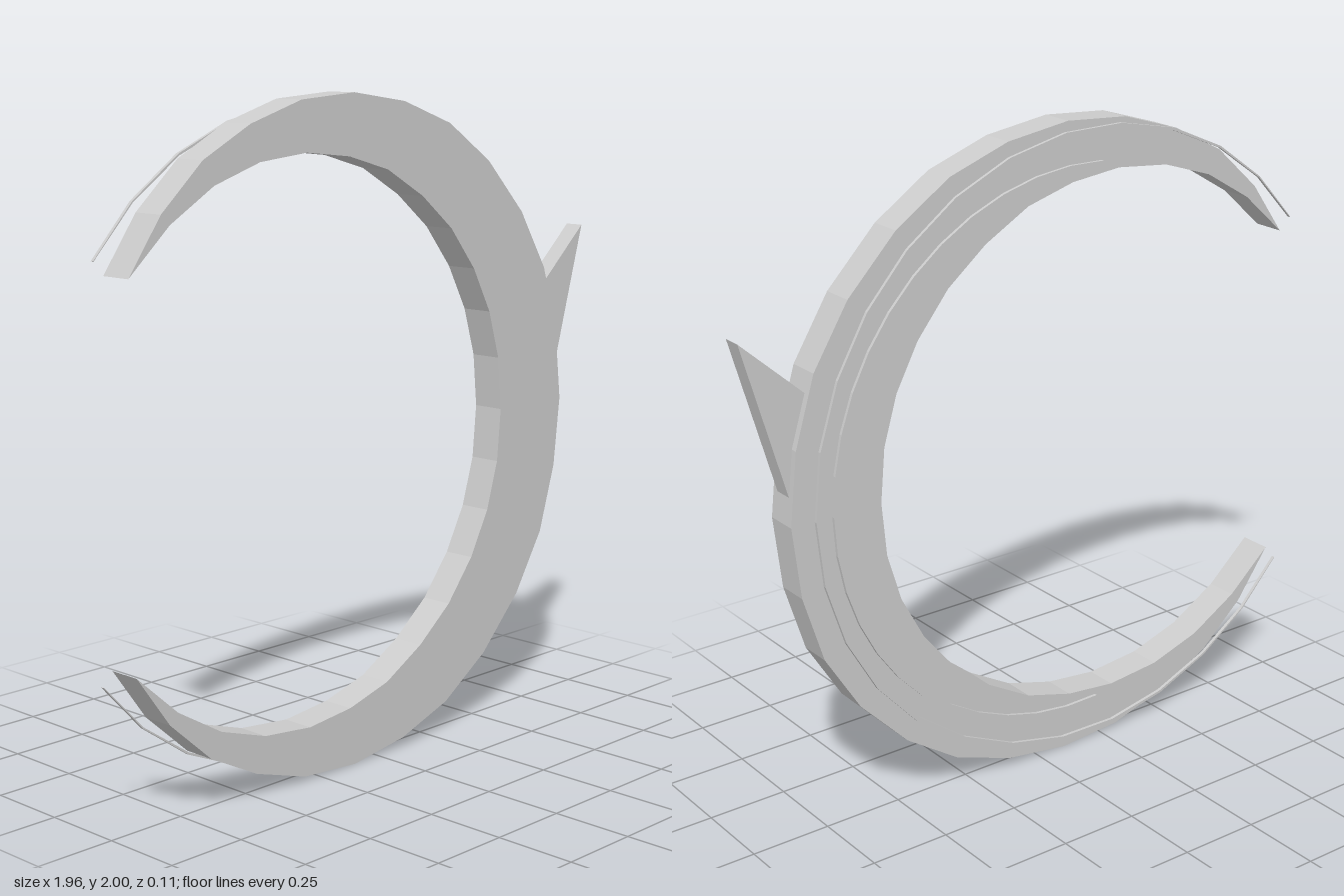
import * as THREE from 'three';

const CY = 1; // height of the mirror line
const material = new THREE.MeshStandardMaterial({ color: 0xcccccc, flatShading: true });

// Extrude an outline between two depths
function slab(name, points, zBack, zFront) {
  const shape = new THREE.Shape(points.map(([x, y]) => new THREE.Vector2(x, y)));
  const geometry = new THREE.ExtrudeGeometry(shape, { depth: zFront - zBack, bevelEnabled: false });
  geometry.translate(0, 0, zBack);
  const mesh = new THREE.Mesh(geometry, material);
  mesh.name = name;
  return mesh;
}

// Complete an upper half edge (first point on the mirror line) into a bottom-to-top edge
function mirrored(half) {
  const lower = half.slice(1).reverse().map(([x, dy]) => [x, CY - dy]);
  return [...lower, ...half.map(([x, dy]) => [x, CY + dy])];
}

// Thin arc band, open to the left; its width runs from mid to tip
function arcBand(name, cx, radius, halfAngle, midWidth, tipWidth, zBack, zFront) {
  const outer = [], inner = [], steps = 24;
  for (let i = 0; i <= steps; i++) {
    const t = (i / steps) * 2 - 1;
    const a = t * halfAngle;
    const r = radius - THREE.MathUtils.lerp(midWidth, tipWidth, t * t);
    outer.push([cx + radius * Math.cos(a), CY + radius * Math.sin(a)]);
    inner.push([cx + r * Math.cos(a), CY + r * Math.sin(a)]);
  }
  return slab(name, [...outer, ...inner.reverse()], zBack, zFront);
}

export function createModel() {
  const group = new THREE.Group();
  group.name = 'crescentOrnament';

  // Faceted crescent body, tapering to two points
  const outer = mirrored([
    [0.855, 0], [0.83, 0.22], [0.765, 0.43], [0.65, 0.615], [0.49, 0.78], [0.31, 0.9], [0.11, 0.97],
    [-0.1, 1], [-0.31, 0.985], [-0.505, 0.925], [-0.68, 0.835], [-0.83, 0.7], [-0.945, 0.54],
  ]);
  const inner = mirrored([
    [0.56, 0], [0.545, 0.165], [0.5, 0.315], [0.425, 0.455], [0.32, 0.585], [0.19, 0.69], [0.04, 0.775],
    [-0.12, 0.82], [-0.29, 0.838], [-0.47, 0.82], [-0.64, 0.765], [-0.8, 0.67],
  ]);
  group.add(slab('crescentBody', [...outer, ...inner.reverse()], -0.046, 0.056));

  // Triangular spike on the outer rim
  group.add(slab('rimSpike', [[0.78, 1.37], [0.845, 1.08], [0.98, 1.55]], -0.025, 0.035));

  // Raised trim lines on the back face
  group.add(arcBand('outerTrim', -0.195, 0.975, 2.503, 0.016, 0.002, -0.056, -0.046));
  group.add(arcBand('innerTrim', -0.15, 0.873, 1.657, 0.016, 0.016, -0.056, -0.046));

  return group;
}
